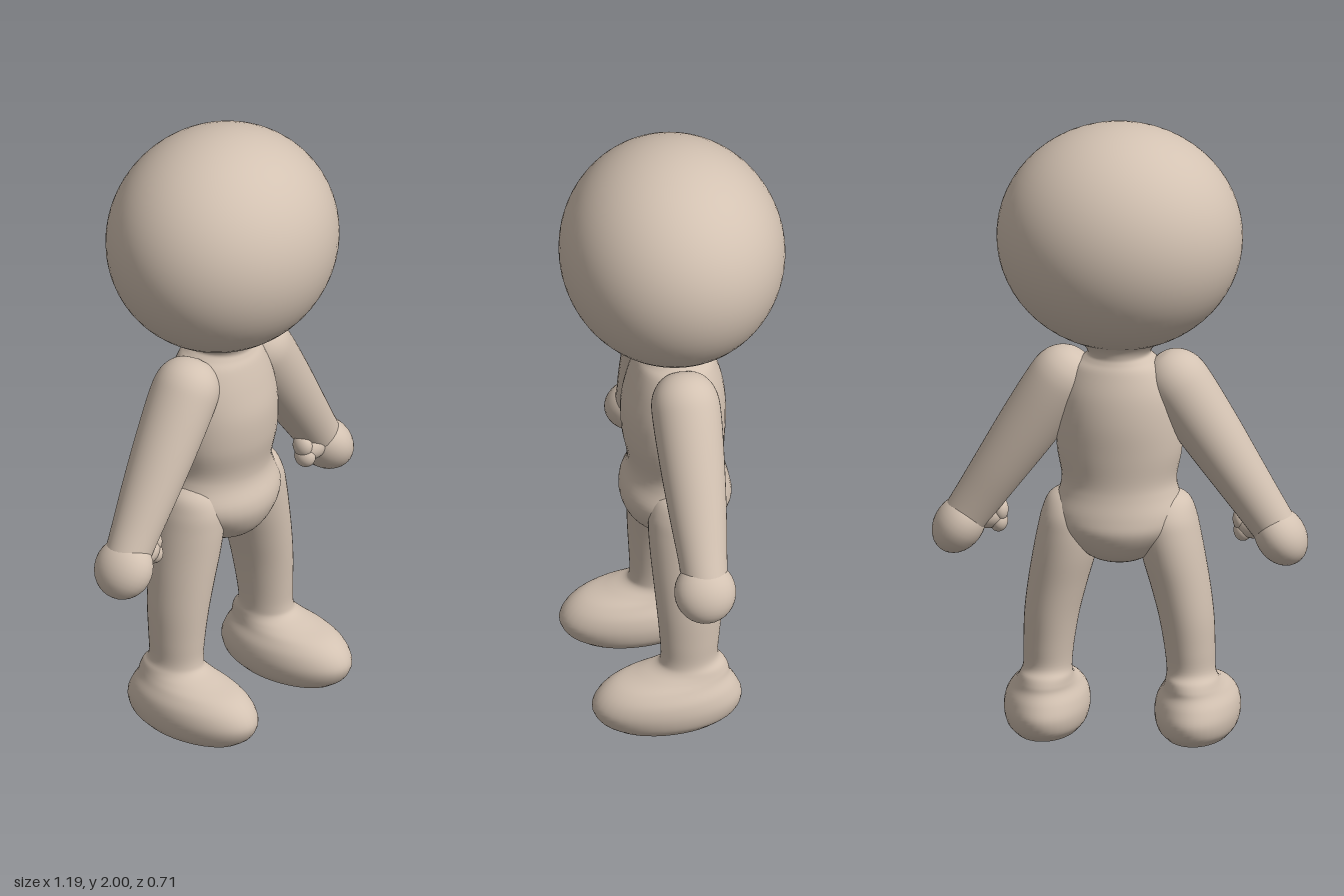
import * as THREE from 'three';

const skin = new THREE.MeshStandardMaterial({ color: 0xd3c2b2 });
skin.name = 'skin';

// Smooth closed tube through horizontal elliptical sections, top to bottom.
// Section: [x, y, zFront, zBack, halfWidth]
function loft(sections, side = 1, steps = 5, sides = 40) {
  const centres = new THREE.CatmullRomCurve3(
    sections.map(([x, y, f, b]) => new THREE.Vector3(x * side, y, (f + b) / 2)), false, 'catmullrom');
  const radii = new THREE.CatmullRomCurve3(
    sections.map(([, , f, b, w]) => new THREE.Vector3(w, 0, (f - b) / 2)), false, 'catmullrom');
  const rows = (sections.length - 1) * steps;
  const pos = [], index = [];
  const ring = (t) => {
    const c = centres.getPoint(t), r = radii.getPoint(t);
    for (let j = 0; j < sides; j++) {
      const a = (j / sides) * Math.PI * 2;
      pos.push(c.x + r.x * Math.cos(a), c.y, c.z + r.z * Math.sin(a));
    }
    return c;
  };
  for (let i = 0; i <= rows; i++) ring(i / rows);
  for (let i = 0; i < rows; i++) {
    for (let j = 0; j < sides; j++) {
      const k = (j + 1) % sides;
      const a = i * sides + j, d = i * sides + k;
      index.push(a, d, d + sides, a, d + sides, a + sides);
    }
  }
  // Flat end caps with their own vertices keep the rim crisp
  for (const t of [0, 1]) {
    const start = pos.length / 3;
    const c = ring(t);
    const o = pos.length / 3;
    pos.push(c.x, c.y, c.z);
    for (let j = 0; j < sides; j++) {
      const p = start + j, q = start + ((j + 1) % sides);
      if (t) index.push(o, p, q); else index.push(o, q, p);
    }
  }
  const geo = new THREE.BufferGeometry();
  geo.setAttribute('position', new THREE.Float32BufferAttribute(pos, 3));
  geo.setIndex(index);
  geo.computeVertexNormals();
  return geo;
}

function add(parent, name, geo, x = 0, y = 0, z = 0) {
  const mesh = new THREE.Mesh(geo, skin);
  mesh.name = name;
  mesh.position.set(x, y, z);
  parent.add(mesh);
  return mesh;
}

function ellipsoid(rx, ry, rz, detail = 32) {
  return new THREE.SphereGeometry(1, detail, detail / 2).scale(rx, ry, rz);
}

export function createModel() {
  const model = new THREE.Group();
  model.name = 'figure';

  add(model, 'head', ellipsoid(0.388, 0.362, 0.355, 64), 0, 1.638, 0);

  // Neck, chest, waist and pelvis in one skin
  add(model, 'torso', loft([
    [0, 1.34, 0.16, -0.165, 0.165],
    [0, 1.295, 0.115, -0.125, 0.12],
    [0, 1.265, 0.1, -0.115, 0.1],
    [0, 1.245, 0.105, -0.12, 0.115],
    [0, 1.215, 0.12, -0.135, 0.15],
    [0, 1.14, 0.142, -0.158, 0.185],
    [0, 1.05, 0.16, -0.168, 0.198],
    [0, 0.95, 0.158, -0.165, 0.198],
    [0, 0.86, 0.142, -0.16, 0.182],
    [0, 0.81, 0.143, -0.165, 0.19],
    [0, 0.75, 0.164, -0.18, 0.212],
    [0, 0.7, 0.164, -0.185, 0.2],
    [0, 0.645, 0.14, -0.16, 0.15],
    [0, 0.605, 0.1, -0.12, 0.1],
    [0, 0.58, 0.04, -0.05, 0.05],
    [0, 0.575, 0.003, -0.003, 0.005],
  ]));

  const legSections = [
    [0.14, 0.82, 0.03, -0.04, 0.03],
    [0.145, 0.79, 0.08, -0.09, 0.076],
    [0.15, 0.74, 0.105, -0.125, 0.094],
    [0.158, 0.68, 0.11, -0.135, 0.1],
    [0.173, 0.6, 0.108, -0.134, 0.1],
    [0.195, 0.5, 0.102, -0.124, 0.094],
    [0.213, 0.4, 0.095, -0.114, 0.087],
    [0.223, 0.3, 0.088, -0.102, 0.08],
    [0.227, 0.23, 0.086, -0.097, 0.077],
    [0.231, 0.2, 0.1, -0.118, 0.084],
    [0.234, 0.178, 0.16, -0.128, 0.094],
    [0.237, 0.155, 0.24, -0.134, 0.109],
    [0.238, 0.12, 0.288, -0.155, 0.128],
    [0.238, 0.075, 0.309, -0.17, 0.134],
    [0.238, 0.03, 0.29, -0.155, 0.124],
    [0.238, 0, 0.25, -0.115, 0.1],
  ];

  // Measured down the arm from the shoulder joint
  const armSections = [
    [0, 0.1, 0.004, -0.004, 0.004],
    [0, 0.092, 0.045, -0.05, 0.042],
    [0, 0.065, 0.08, -0.085, 0.078],
    [0, 0.02, 0.102, -0.107, 0.1],
    [0, -0.05, 0.106, -0.112, 0.104],
    [0, -0.2, 0.1, -0.104, 0.097],
    [0, -0.35, 0.09, -0.092, 0.086],
    [0, -0.47, 0.08, -0.079, 0.077],
    [0, -0.53, 0.076, -0.073, 0.073],
    [0, -0.57, 0.074, -0.07, 0.07],
  ];

  for (const s of [-1, 1]) {
    const label = s > 0 ? 'left' : 'right';
    add(model, label + 'LegAndFoot', loft(legSections, s));

    const arm = new THREE.Group();
    arm.name = label + 'Arm';
    arm.position.set(0.18 * s, 1.17, 0);
    arm.rotation.z = 0.583 * s;
    model.add(arm);
    add(arm, label + 'Sleeve', loft(armSections));
    add(arm, label + 'Hand', ellipsoid(0.079, 0.1, 0.098), 0, -0.598, 0.006);

    // Stubby thumb pointing inwards
    const thumb = new THREE.Group();
    thumb.name = label + 'Thumb';
    model.add(thumb);
    add(thumb, label + 'ThumbBase', ellipsoid(0.06, 0.045, 0.045), 0.425 * s, 0.7, 0.02);
    add(thumb, label + 'ThumbTip', ellipsoid(0.03, 0.036, 0.036), 0.387 * s, 0.68, 0.025);
    add(thumb, label + 'ThumbKnuckle', ellipsoid(0.026, 0.038, 0.034), 0.381 * s, 0.718, 0.02);
  }

  return model;
}
